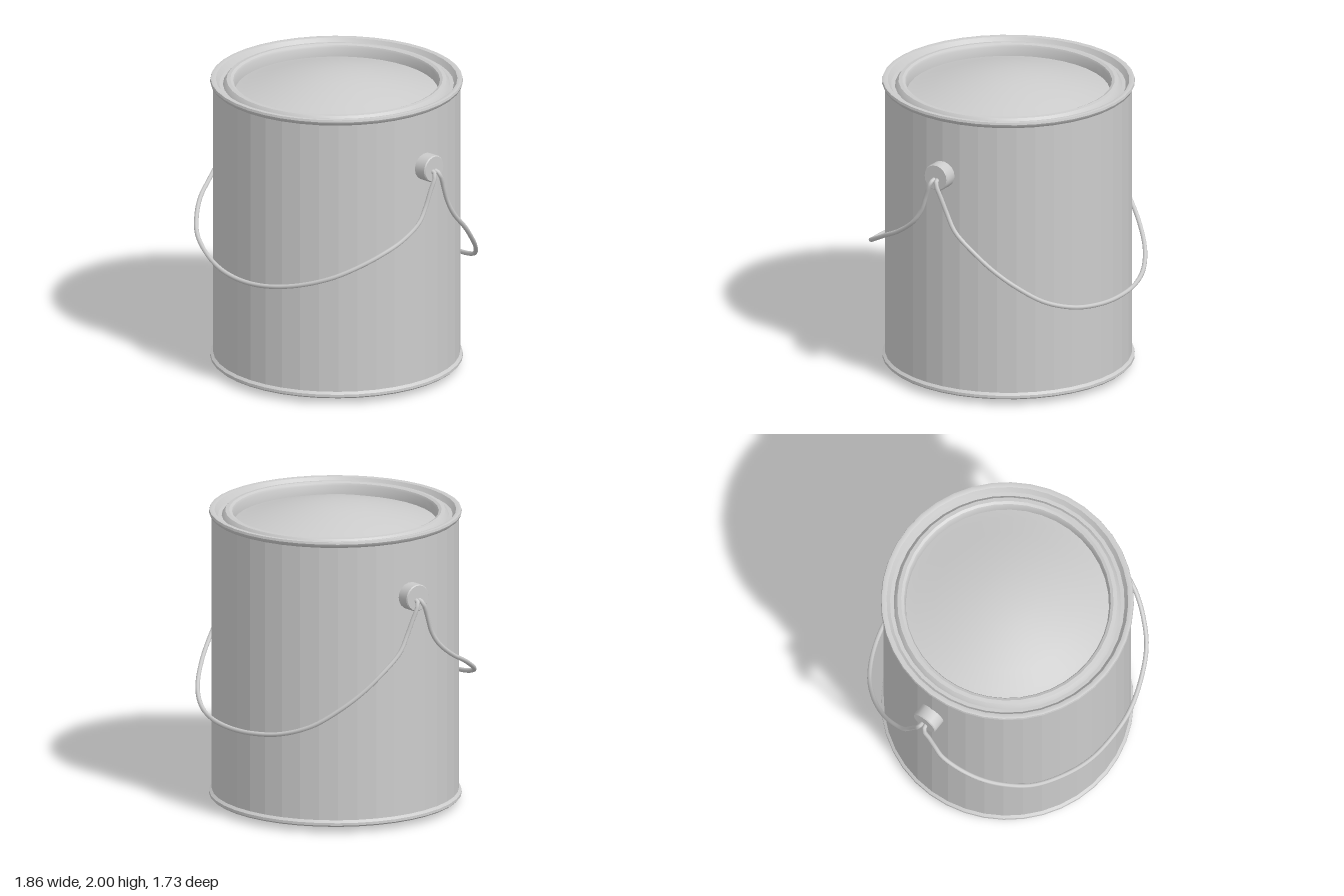
import * as THREE from 'three';
import { toCreasedNormals } from 'three/addons/utils/BufferGeometryUtils.js';

const SEGMENTS = 40;
const smooth = new THREE.MeshStandardMaterial({ color: 0xcccccc, side: THREE.DoubleSide });
const faceted = new THREE.MeshStandardMaterial({ color: 0xcccccc, flatShading: true });

function part(name, geometry, material = smooth) {
  const mesh = new THREE.Mesh(geometry, material);
  mesh.name = name;
  return mesh;
}

// Revolves [radius, height] pairs, keeping sharp profile corners
function turned(profile) {
  const points = profile.map(([r, y]) => new THREE.Vector2(r, y));
  return toCreasedNormals(new THREE.LatheGeometry(points, SEGMENTS), 0.6);
}

// Half of the wire, as [x, y, z] from the ear to the middle of the bow
const frontHalf = [
  [0.87, 1.54, 0.01], [0.912, 1.52, 0.02], [0.908, 1.42, 0.06], [0.9, 1.31, 0.1],
  [0.9, 1.22, 0.16], [0.87, 1.12, 0.29], [0.82, 1.05, 0.42], [0.74, 0.98, 0.54],
  [0.61, 0.9, 0.67], [0.42, 0.83, 0.77], [0.21, 0.785, 0.835],
];
const backHalf = [
  [0.87, 1.54, -0.01], [0.912, 1.52, -0.02], [0.908, 1.42, -0.06], [0.9, 1.32, -0.1],
  [0.9, 1.21, -0.16], [0.87, 1.07, -0.3], [0.82, 0.96, -0.41], [0.74, 0.85, -0.53],
  [0.61, 0.735, -0.66], [0.42, 0.66, -0.77], [0.21, 0.63, -0.835],
];

function wire(half, middle) {
  const mirrored = half.map(([x, y, z]) => [-x, y, z]).reverse();
  const points = [...half, middle, ...mirrored].map((p) => new THREE.Vector3(...p));
  return new THREE.TubeGeometry(new THREE.CatmullRomCurve3(points), 96, 0.015, 8);
}

export function createModel() {
  const can = new THREE.Group();
  can.name = 'paintCan';

  // Straight wall
  const wall = new THREE.CylinderGeometry(0.803, 0.803, 1.88, SEGMENTS, 1, true);
  wall.translate(0, 1.0, 0);
  can.add(part('wall', wall, faceted));

  // Rolled top rim, groove and inner lip
  can.add(part('topRim', turned([
    [0.803, 1.915], [0.815, 1.925], [0.822, 1.942], [0.818, 1.957], [0.805, 1.96],
    [0.785, 1.955], [0.772, 1.935], [0.762, 1.92], [0.738, 1.918], [0.728, 1.935],
    [0.715, 1.95], [0.69, 1.953],
  ])));

  // Pressed lid: seat, short inner wall and dome
  can.add(part('lid', turned([
    [0.69, 1.953], [0.672, 1.945], [0.664, 1.93], [0.66, 1.87], [0.6, 1.885],
    [0.48, 1.923], [0.33, 1.96], [0.2, 1.986], [0.1, 1.997], [0, 2.0],
  ])));

  // Bottom bead, groove and raised base panel with a centre button
  can.add(part('base', turned([
    [0, 0], [0.085, 0.002], [0.1, 0.022], [0.16, 0.01], [0.5, 0.007], [0.56, 0.01],
    [0.635, 0.018], [0.645, 0.035], [0.69, 0.05], [0.71, 0.05], [0.735, 0.065],
    [0.765, 0.065], [0.785, 0.042], [0.81, 0.038], [0.821, 0.048], [0.82, 0.065],
    [0.803, 0.08],
  ])));

  // Ears that hold the wire
  for (const side of [-1, 1]) {
    const profile = [[0.09, 0], [0.09, 0.09], [0.084, 0.097], [0, 0.097]];
    const ear = toCreasedNormals(
      new THREE.LatheGeometry(profile.map(([r, y]) => new THREE.Vector2(r, y)), 18), 0.6);
    ear.rotateZ(-side * Math.PI / 2);
    ear.translate(side * 0.788, 1.55, 0);
    can.add(part(side > 0 ? 'leftEar' : 'rightEar', ear));
  }

  // Two wire bows hanging at different heights
  can.add(part('frontHandle', wire(frontHalf, [0, 0.768, 0.85])));
  can.add(part('backHandle', wire(backHalf, [0, 0.62, -0.85])));

  return can;
}
